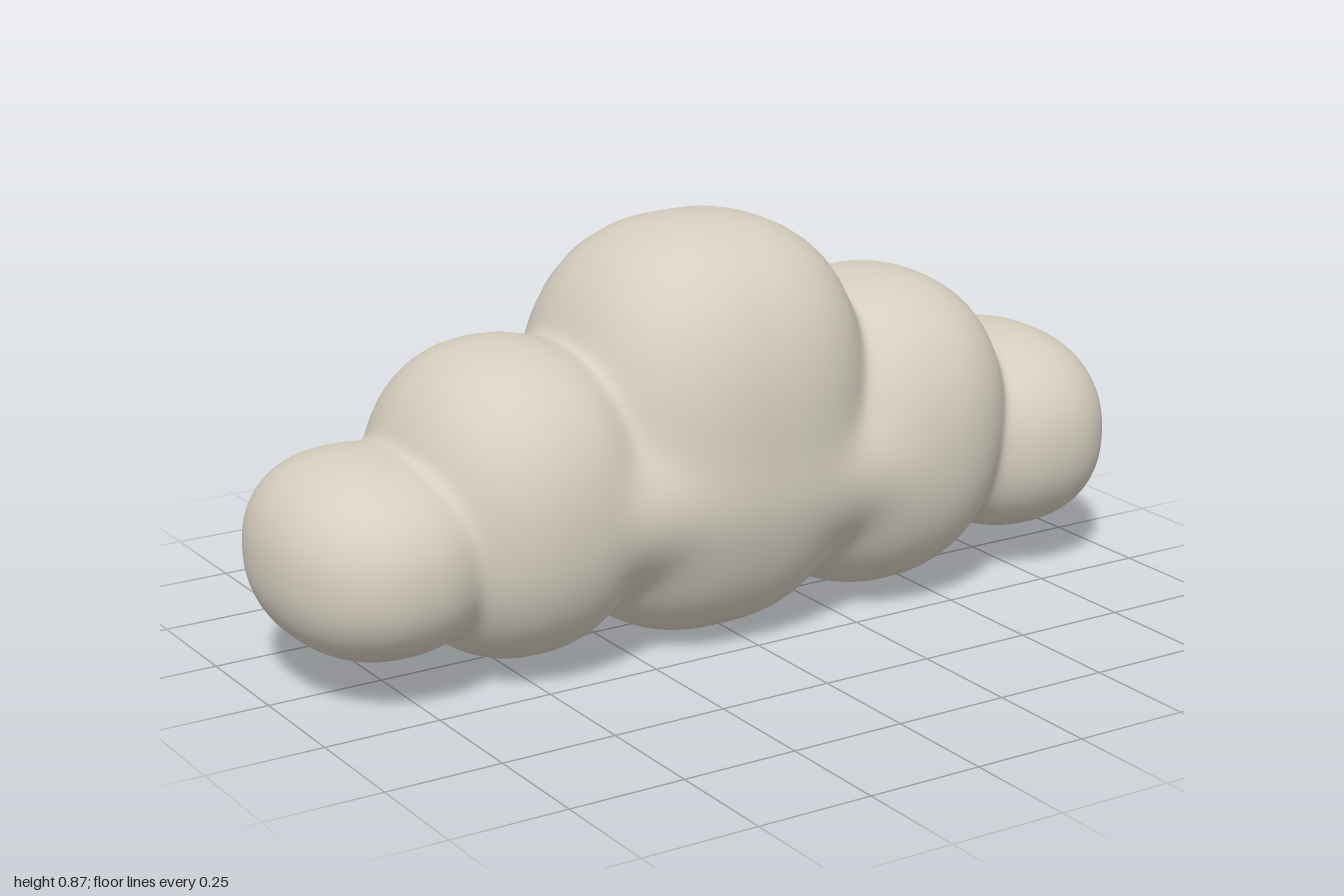
import * as THREE from 'three';
import { mergeVertices } from 'three/addons/utils/BufferGeometryUtils.js';

// Rounded puffs: centre (x, y), half sizes (a, b, c) along x, y, z,
// roundness exponent, and lean (sideways shift per unit of height)
const PUFFS = [
  { x: -0.775, y: 0.283, a: 0.225, b: 0.205, c: 0.285, power: 2.25, lean: 0 },    // right end
  { x: -0.465, y: 0.345, a: 0.265, b: 0.325, c: 0.328, power: 2.25, lean: 0.03 }, // right shoulder
  { x: -0.015, y: 0.435, a: 0.345, b: 0.435, c: 0.342, power: 2.5, lean: 0.06 },  // crown
  { x: 0.415, y: 0.356, a: 0.295, b: 0.341, c: 0.332, power: 2.25, lean: 0.08 },  // left shoulder
  { x: 0.775, y: 0.299, a: 0.225, b: 0.226, c: 0.285, power: 2.25, lean: 0 },     // left end
];
// Wide core that fills the creases in the middle
const CORE = { x: 0, y: 0.34, a: 0.65, b: 0.22, c: 0.33 };

const SHARPNESS = 10; // higher gives tighter creases between puffs
const COLUMNS = 420;
const SIDES = 72;

// Blended field: above 1 inside the cloud, below 1 outside
function field(x, y, z) {
  const core = Math.pow((x - CORE.x) / CORE.a, 4) + ((y - CORE.y) / CORE.b) ** 2 + (z / CORE.c) ** 2;
  let sum = Math.exp(SHARPNESS * (1 - core));
  for (const p of PUFFS) {
    const dx = Math.abs(x - p.x - p.lean * (y - p.y)) / p.a;
    const dy = Math.abs(y - p.y) / p.b;
    const dz = Math.abs(z) / p.c;
    const q = Math.pow(dx, p.power) + Math.pow(dy, p.power) + Math.pow(dz, p.power);
    sum += Math.exp(SHARPNESS * (1 - q));
  }
  return sum;
}

// Distance from the axis to the surface, found by halving
function reach(x, axisY, cos, sin) {
  let low = 0, high = 0.8;
  for (let n = 0; n < 26; n++) {
    const mid = (low + high) / 2;
    if (field(x, axisY + mid * cos, mid * sin) > 1) low = mid;
    else high = mid;
  }
  return low;
}

// Cross-sections along x, closing to a point at each tip
function cloudGeometry() {
  const positions = [], index = [];
  for (let j = 0; j <= COLUMNS; j++) {
    const x = -Math.cos((Math.PI * j) / COLUMNS);
    const axisY = 0.291 + 0.008 * x;
    const isTip = j === 0 || j === COLUMNS;
    for (let i = 0; i < SIDES; i++) {
      const angle = (2 * Math.PI * i) / SIDES;
      const cos = Math.cos(angle), sin = Math.sin(angle);
      const r = isTip ? 0 : reach(x, axisY, cos, sin);
      positions.push(x, axisY + r * cos, r * sin);
      if (j === COLUMNS) continue;
      const a = j * SIDES + i, b = a + SIDES;
      const c = j * SIDES + ((i + 1) % SIDES), d = c + SIDES;
      if (j > 0) index.push(a, c, b);
      if (j < COLUMNS - 1) index.push(c, d, b);
    }
  }
  const geometry = new THREE.BufferGeometry();
  geometry.setAttribute('position', new THREE.Float32BufferAttribute(positions, 3));
  geometry.setIndex(index);
  const merged = mergeVertices(geometry, 1e-6);
  merged.computeVertexNormals();
  return merged;
}

export function createModel() {
  const group = new THREE.Group();
  group.name = 'cloud';
  const cream = new THREE.MeshStandardMaterial({ color: 0xd6cfc0 });
  cream.name = 'warm cream';
  const body = new THREE.Mesh(cloudGeometry(), cream);
  body.name = 'cloudBody';
  group.add(body);
  return group;
}
